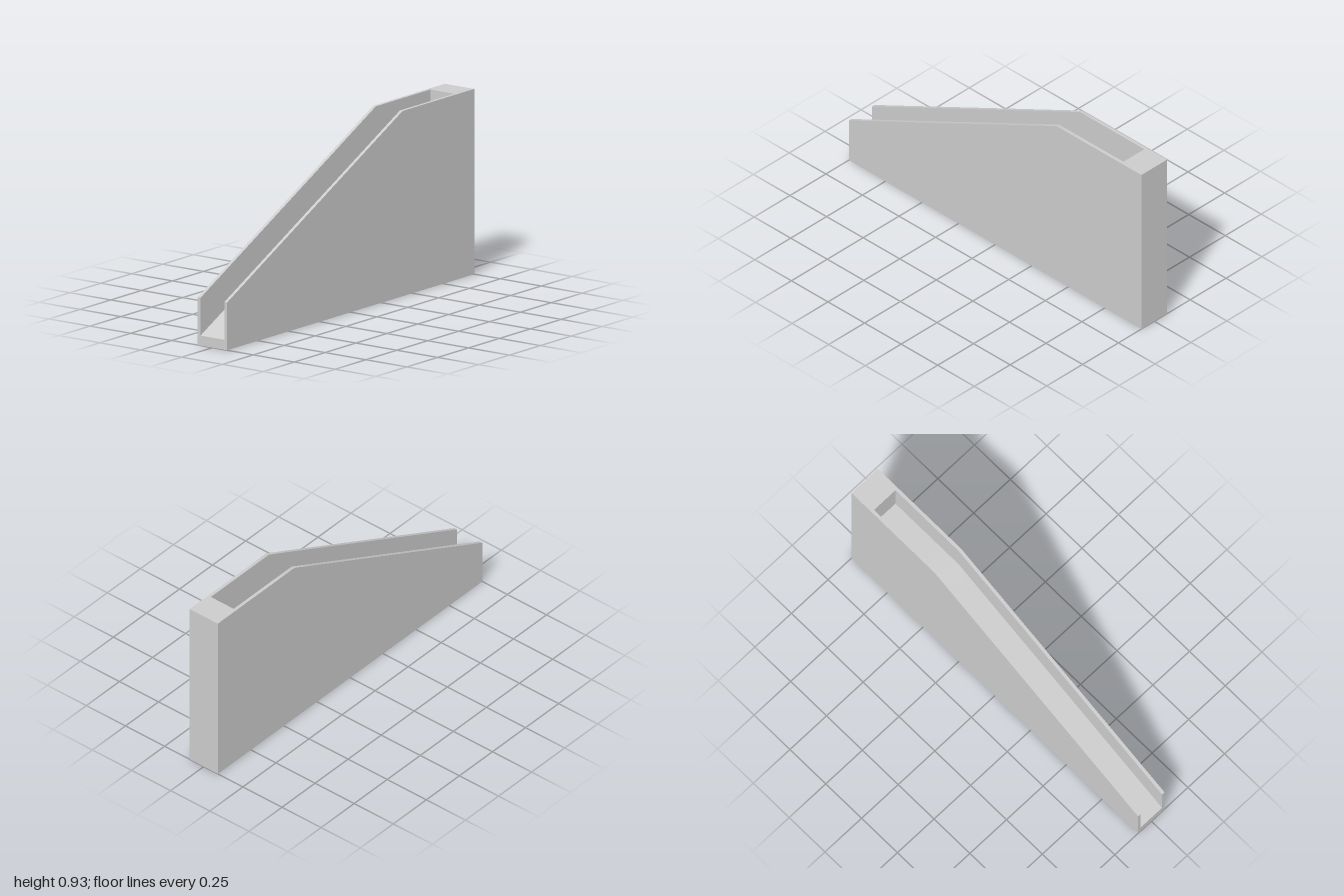
import * as THREE from 'three';
import { toCreasedNormals } from 'three/addons/utils/BufferGeometryUtils.js';

const HALF_WIDTH = 0.09, WALL = 0.017;
const BACK = -1, FRONT = 1, STOP = -0.86, BEND = -0.42;
const SLOPE = 0.69 / (FRONT - BEND), BLEND = 0.14;

// Side outline: flat top from the back to the bend, then a straight ramp to the front.
function rampOutline(back, top) {
  const ramp = z => top - SLOPE * (z - BEND);
  return new THREE.Shape([
    [back, 0], [FRONT, 0], [FRONT, ramp(FRONT)],
    [BEND + BLEND, ramp(BEND + BLEND)], [BEND, top], [BEND - BLEND, top], [back, top],
  ].map(([z, y]) => new THREE.Vector2(z, y)));
}

export function createModel() {
  const group = new THREE.Group();
  group.name = 'rampChannel';
  const material = new THREE.MeshStandardMaterial({ color: 0xcccccc });

  // Extrudes a side outline across x, shading the gentle bend smoothly.
  function addSlab(name, shape, width, x) {
    let geometry = new THREE.ExtrudeGeometry(shape, { depth: width, bevelEnabled: false });
    geometry.translate(0, 0, -width / 2).rotateY(-Math.PI / 2);
    geometry = toCreasedNormals(geometry, Math.PI / 5);
    const mesh = new THREE.Mesh(geometry, material);
    mesh.name = name;
    mesh.position.x = x;
    group.add(mesh);
  }

  // Side walls
  for (const [name, side] of [['leftWall', 1], ['rightWall', -1]]) {
    addSlab(name, rampOutline(BACK, 0.93), WALL, side * (HALF_WIDTH - WALL / 2));
  }

  // Sunken floor between the walls
  const inner = 2 * (HALF_WIDTH - WALL);
  addSlab('channelFloor', rampOutline(STOP, 0.74), inner, 0);

  // Solid block closing the back of the channel
  const block = new THREE.Mesh(new THREE.BoxGeometry(inner, 0.93, STOP - BACK), material);
  block.name = 'backBlock';
  block.position.set(0, 0.465, (STOP + BACK) / 2);
  group.add(block);

  return group;
}
